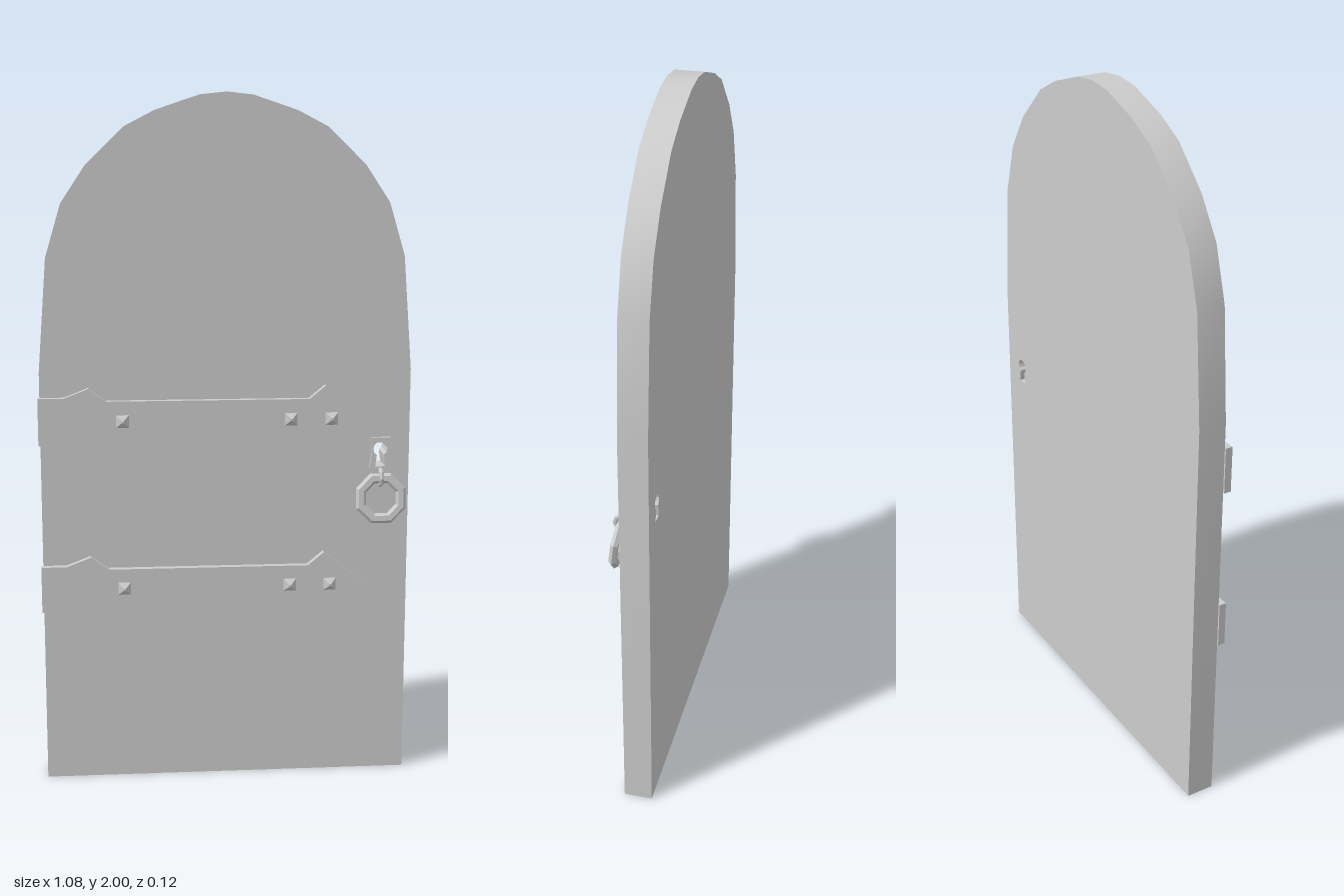
import * as THREE from 'three';
import { toCreasedNormals } from 'three/addons/utils/BufferGeometryUtils.js';

const FRONT = 0.017, BACK = -0.065;
const grey = new THREE.MeshStandardMaterial({ color: 0xcccccc });
const flat = new THREE.MeshStandardMaterial({ color: 0xcccccc, flatShading: true });

const points = (list) => list.map(([x, y]) => new THREE.Vector2(x, y));

// Closes a half outline by mirroring it across x = cx
const mirrorX = (half, cx = 0) =>
  points([...half.map(([x, y]) => [cx + x, y]), ...half.slice().reverse().map(([x, y]) => [cx - x, y])]);

// Extrudes an outline from z0 to z1, keeping the arch smooth and the edges sharp
function slab(name, outline, z0, z1, hole) {
  const shape = new THREE.Shape(outline);
  if (hole) shape.holes.push(new THREE.Path(hole));
  const geo = new THREE.ExtrudeGeometry(shape, { depth: z1 - z0, bevelEnabled: false });
  geo.translate(0, 0, z0);
  const mesh = new THREE.Mesh(toCreasedNormals(geo, 0.5), grey);
  mesh.name = name;
  return mesh;
}

function createStrap(y) {
  const group = new THREE.Group();
  group.name = 'hingeStrap';
  const top = [[-0.54, 0.068], [-0.467, 0.068], [-0.397, 0.095], [-0.345, 0.058],
    [0.238, 0.058], [0.285, 0.097]];
  const outline = points([...top, [0.405, 0], ...top.slice().reverse().map(([x, v]) => [x, -v])]);
  group.add(slab('strapPlate', outline, FRONT, 0.038));
  // Square studs with a low blunt point
  for (const x of [-0.3, 0.185, 0.303]) {
    const geo = new THREE.CylinderGeometry(0.005, 0.026, 0.014, 4);
    geo.rotateY(Math.PI / 4).rotateX(Math.PI / 2);
    const stud = new THREE.Mesh(geo, flat);
    stud.name = 'stud';
    stud.position.set(x, 0, 0.045);
    group.add(stud);
  }
  group.position.y = y;
  return group;
}

export function createModel() {
  const model = new THREE.Group();
  model.name = 'archedDoor';
  const lockX = 0.45;

  // Keyhole: round top with a flared slot, cut through the door and plate
  const keyhole = [];
  for (let i = 0; i <= 5; i++) {
    const a = Math.PI / 2 - (i / 5) * 2.6;
    keyhole.push([0.022 * Math.cos(a), 0.986 + 0.022 * Math.sin(a)]);
  }
  keyhole.push([0.016, 0.932]);
  const hole = mirrorX(keyhole.slice(1), lockX);

  // Door leaf
  const arch = [[0.535, 0], [0.535, 1.22], [0.51, 1.545], [0.465, 1.695], [0.395, 1.8],
    [0.287, 1.905], [0.2, 1.95], [0.075, 1.992]];
  const outline = mirrorX(arch);
  outline.splice(arch.length, 0, new THREE.Vector2(0, 2));
  model.add(slab('doorLeaf', outline, BACK, FRONT, hole));

  // Lock plate
  const plate = [[0.03, 1.02], [0.026, 0.995], [0.026, 0.97], [0.032, 0.93], [0.016, 0.915]];
  model.add(slab('keyholePlate', mirrorX(plate, lockX), FRONT, 0.028, hole));

  // Hinge straps
  for (const y of [1.08, 0.585]) model.add(createStrap(y));

  // Ring handle, hanging slightly away from the door
  const ring = new THREE.Mesh(new THREE.TorusGeometry(0.063, 0.016, 6, 8), flat);
  ring.name = 'ringHandle';
  ring.scale.z = 0.75;
  ring.rotation.set(-0.12, 0, Math.PI / 8);
  ring.position.set(lockX, 0.842, 0.041);
  model.add(ring);

  // Staple holding the ring
  const staple = new THREE.Mesh(new THREE.TorusGeometry(0.023, 0.007, 6, 8), flat);
  staple.name = 'ringStaple';
  staple.rotation.y = Math.PI / 2;
  staple.position.set(lockX, 0.902, 0.03);
  model.add(staple);

  return model;
}
